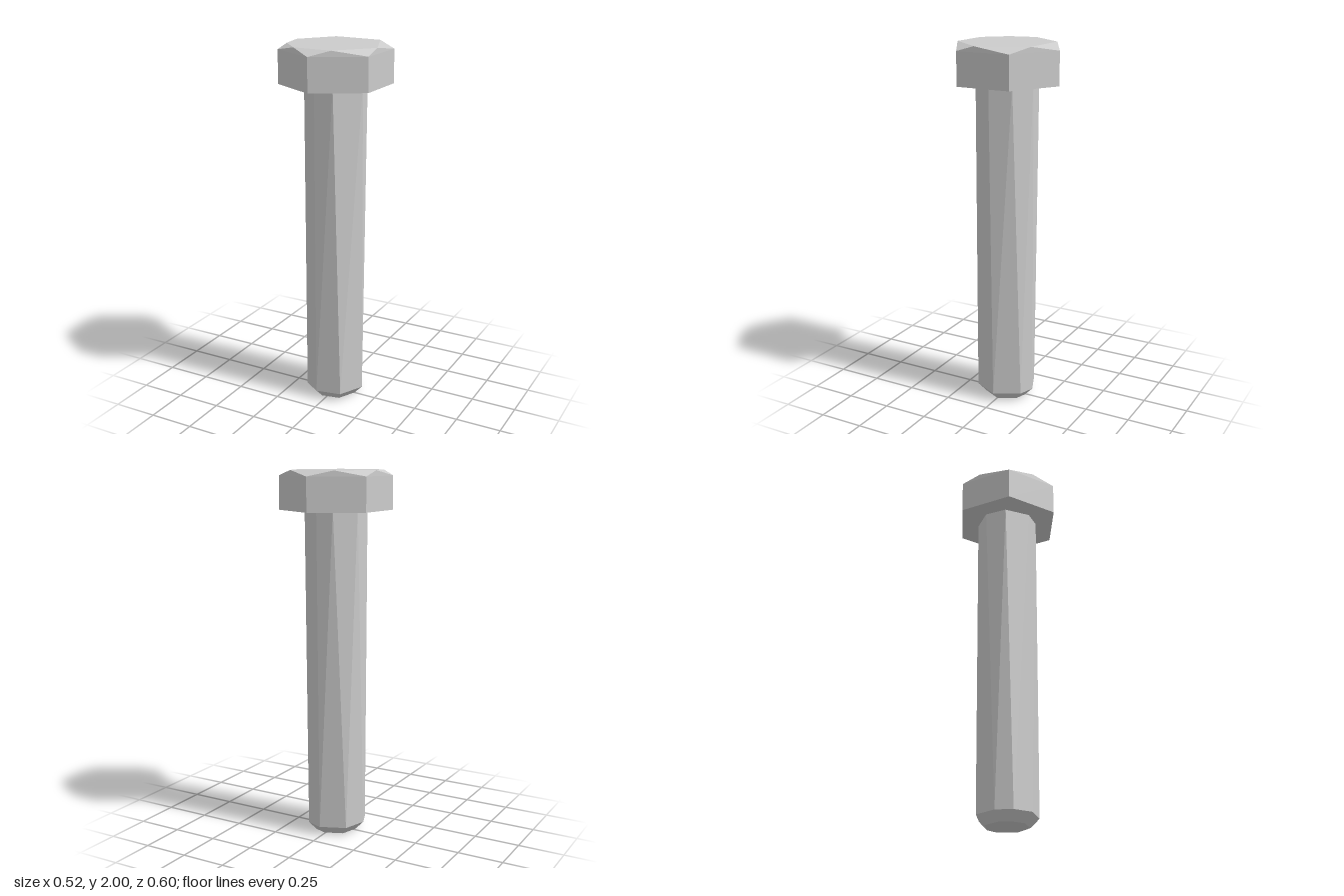
import * as THREE from 'three';
import { ConvexGeometry } from 'three/addons/geometries/ConvexGeometry.js';

const material = new THREE.MeshStandardMaterial({ color: 0xcccccc, flatShading: true });

// Ring of points around the y axis; angle 0 faces the front, 90 the model's left
function ring(angles, radius, y) {
  return angles.map((deg) => {
    const a = THREE.MathUtils.degToRad(deg);
    return new THREE.Vector3(radius * Math.sin(a), y, radius * Math.cos(a));
  });
}

function convexPart(name, points) {
  const mesh = new THREE.Mesh(new ConvexGeometry(points), material);
  mesh.name = name;
  return mesh;
}

export function createModel() {
  const group = new THREE.Group();
  group.name = 'hexBolt';

  // Hexagonal head: corners cut down below an irregular flat top
  const hex = [0, 60, 120, 180, 240, 300];
  const topOutline = [
    [-0.12, -0.23], [0.15, -0.215], [0.26, 0.05], [0.1, 0.24],
    [-0.12, 0.23], [-0.23, 0.11], [-0.26, -0.04],
  ].map(([x, z]) => new THREE.Vector3(x, 2, z));
  group.add(convexPart('head', [
    ...ring(hex, 0.302, 1.79),
    ...ring(hex, 0.302, 1.97),
    ...topOutline,
  ]));

  // Eight-sided, slightly twisted shaft with a bevelled tip
  const upper = [22, 83, 127, 172, 204, 252, 295, 346];
  const lower = [36, 90, 145, 177, 229, 276, 309, 346];
  group.add(convexPart('shaft', [
    ...ring(upper, 0.168, 1.8),
    ...ring(lower, 0.168, 0.05),
    ...ring(lower, 0.12, 0),
  ]));

  return group;
}
